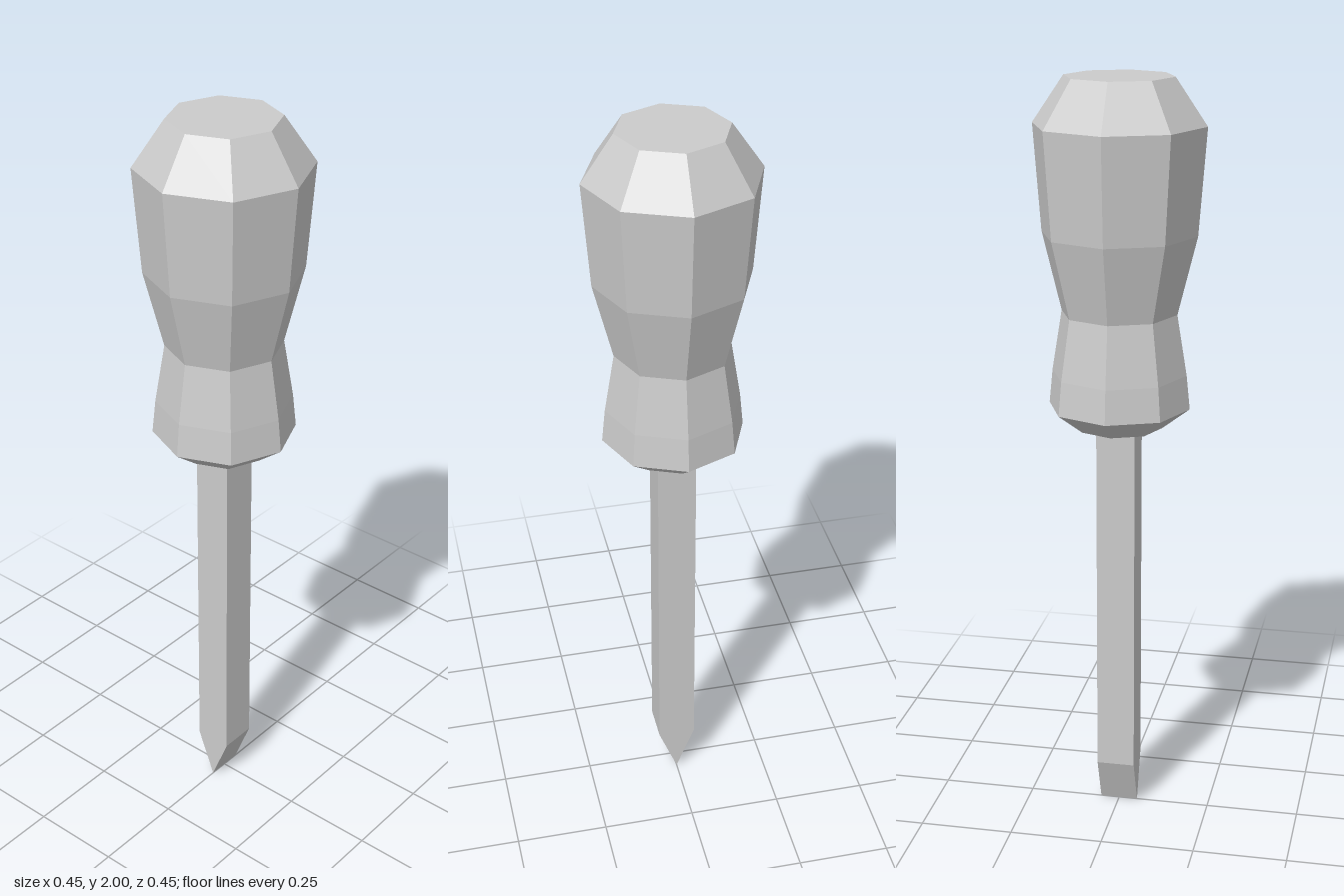
import * as THREE from 'three';

const material = new THREE.MeshStandardMaterial({ color: 0xcccccc, flatShading: true });

function addPart(group, name, geometry) {
  const flat = geometry.index ? geometry.toNonIndexed() : geometry;
  flat.computeVertexNormals();
  const mesh = new THREE.Mesh(flat, material);
  mesh.name = name;
  group.add(mesh);
}

export function createModel() {
  const group = new THREE.Group();
  group.name = 'screwdriver';

  // Eight-sided grip with a waist and bevelled ends, profile from bottom to top
  const profile = [
    [0, 1.095], [0.115, 1.095], [0.187, 1.15], [0.178, 1.24], [0.152, 1.4],
    [0.203, 1.605], [0.224, 1.88], [0.142, 2], [0, 2],
  ].map(([r, y]) => new THREE.Vector2(r, y));
  addPart(group, 'handle', new THREE.LatheGeometry(profile, 8));

  // Square shaft narrowing to a flat chisel edge that runs along x
  const half = 0.051;
  const side = new THREE.Shape([
    [0, 0], [half, 0.13], [half, 1.11], [-half, 1.11], [-half, 0.13],
  ].map(([z, y]) => new THREE.Vector2(z, y)));
  const shaft = new THREE.ExtrudeGeometry(side, { depth: 2 * half, bevelEnabled: false });
  shaft.translate(0, 0, -half).rotateY(Math.PI / 2);
  addPart(group, 'shaft', shaft);

  return group;
}
